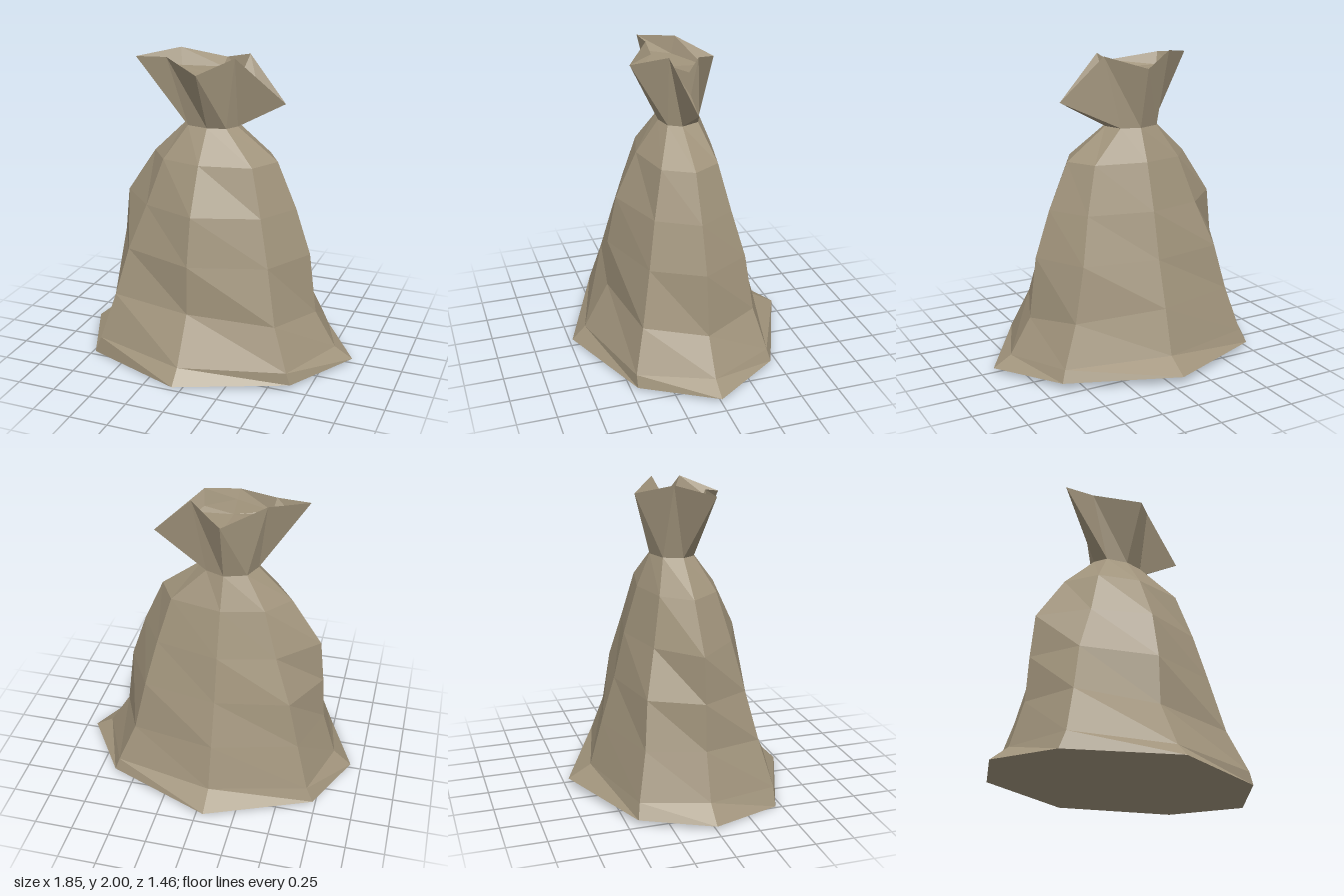
import * as THREE from 'three';

// Body rings, bottom to neck: [x, y] of left and right ridges, [z, y] of front and back ridges,
// then how far the corner ridges reach towards each of those four.
const BODY = [
  { left: [0.92, 0.03], right: [-0.93, 0.03], front: [0.73, 0.01], back: [-0.73, 0.055], k: [0.69, 0.79, 0.63, 0.6] },
  { left: [0.80, 0.10], right: [-0.81, 0.13], front: [0.64, 0.10], back: [-0.58, 0.14], k: [0.76, 0.85, 0.72, 0.72] },
  { left: [0.66, 0.33], right: [-0.72, 0.43], front: [0.475, 0.40], back: [-0.50, 0.43], k: [0.76, 0.84, 0.81, 0.71] },
  { left: [0.61, 0.73], right: [-0.70, 0.73], front: [0.465, 0.72], back: [-0.41, 0.73], k: [0.70, 0.76, 0.68, 0.78] },
  { left: [0.51, 1.03], right: [-0.67, 1.02], front: [0.40, 1.03], back: [-0.34, 1.03], k: [0.70, 0.63, 0.65, 0.72] },
  { left: [0.38, 1.33], right: [-0.47, 1.32], front: [0.26, 1.33], back: [-0.25, 1.33], k: [0.72, 0.70, 0.73, 0.72] },
  { left: [0.11, 1.535], right: [-0.25, 1.535], front: [0.11, 1.535], back: [-0.165, 1.535], k: [0.55, 0.80, 0.75, 0.72] },
];
const MID_X = -0.06;

// Eight points round a ring, from +x towards +z
function bodyRing({ left, right, front, back, k: [kl, kr, kf, kb] }) {
  const corner = (side, ks, end, ke) => [side[0] * ks, (side[1] + end[1]) / 2, end[0] * ke];
  return [
    [left[0], left[1], 0], corner(left, kl, front, kf),
    [MID_X, front[1], front[0]], corner(right, kr, front, kf),
    [right[0], right[1], 0], corner(right, kr, back, kb),
    [MID_X, back[1], back[0]], corner(left, kl, back, kb),
  ];
}

// Flared mouth: outer lip and the tucked-in inner edge
const LIP = [
  [0.425, 1.71, 0], [0.12, 1.99, 0.09], [-0.06, 1.91, 0.29], [-0.33, 1.97, 0.11],
  [-0.54, 1.96, 0.11], [-0.31, 2.0, -0.08], [-0.06, 1.92, -0.26], [0.16, 1.99, -0.085],
];
const INNER = [
  [0.24, 1.78, -0.01], [0.11, 1.89, 0.05], [-0.06, 1.87, 0.22], [-0.31, 1.89, 0.08],
  [-0.41, 1.89, 0.1], [-0.29, 1.89, -0.05], [-0.06, 1.87, -0.185], [0.13, 1.89, -0.035],
];

function geometryFrom(triangles) {
  const g = new THREE.BufferGeometry();
  g.setAttribute('position', new THREE.Float32BufferAttribute(triangles.flat(2), 3));
  g.computeVertexNormals(); // unshared corners give flat facets
  return g;
}

// Walls between successive rings, facing outwards when the rings rise
function skin(rings) {
  const tris = [];
  for (let r = 0; r + 1 < rings.length; r++) {
    const lo = rings[r], hi = rings[r + 1];
    for (let i = 0; i < 8; i++) {
      const j = (i + 1) % 8;
      tris.push([lo[i], hi[i], hi[j]], [lo[i], hi[j], lo[j]]);
    }
  }
  return geometryFrom(tris);
}

// Fan closing a ring, facing up or down
function cap(ring, up) {
  const c = [0, 1, 2].map(a => ring.reduce((s, p) => s + p[a], 0) / ring.length);
  return geometryFrom(ring.map((p, i) => {
    const q = ring[(i + 1) % ring.length];
    return up ? [c, q, p] : [c, p, q];
  }));
}

export function createModel() {
  const cloth = new THREE.MeshStandardMaterial({ color: 0xa0937b });
  cloth.name = 'sackcloth';
  cloth.flatShading = true;
  cloth.side = THREE.DoubleSide;

  const sack = new THREE.Group();
  sack.name = 'sack';
  const add = (name, geometry) => {
    const mesh = new THREE.Mesh(geometry, cloth);
    mesh.name = name;
    sack.add(mesh);
  };

  const rings = BODY.map(bodyRing);
  rings[0][3][1] = 0; // lowest hem corner touches the ground
  const neck = rings[rings.length - 1];

  add('body', skin(rings));
  add('base', cap(rings[0], false));
  add('gatheredTop', skin([neck, LIP]));
  add('lipFold', skin([LIP, INNER]));
  add('mouthFilling', cap(INNER, true));
  return sack;
}
